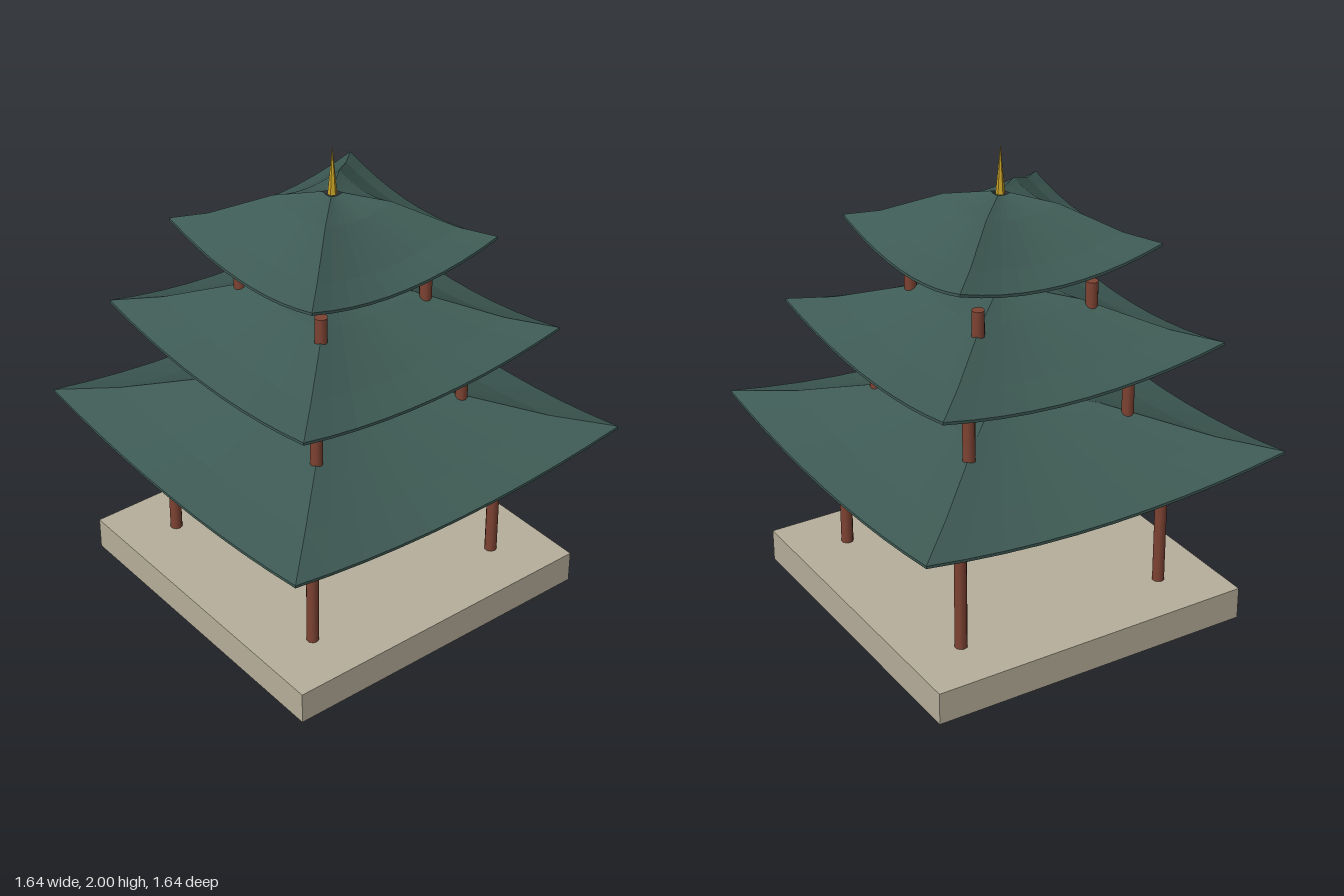
import * as THREE from 'three';

const material = (color, extra = {}) => new THREE.MeshStandardMaterial({ color, ...extra });

// Four-sided roof sheet with sagging slopes, upswept corners, a small open top and a thin eave lip.
function roofGeometry(half) {
  // [fraction of half width, drop below the top, corner lift]
  const rings = [
    [0.06, 0, 0.005],
    [0.36, 0.049, 0.026],
    [0.76, 0.172, 0.054],
    [1, 0.22, 0.071],
    [1, 0.232, 0.071],
  ];
  const steps = 10;
  const positions = [];
  const indices = [];
  for (let side = 0; side < 4; side++) {
    const start = positions.length / 3;
    const c = Math.round(Math.cos(side * Math.PI / 2));
    const s = Math.round(Math.sin(side * Math.PI / 2));
    for (const [t, drop, lift] of rings) {
      for (let i = 0; i <= steps; i++) {
        const u = -1 + 2 * i / steps;
        const r = half * t;
        const x = r * u;
        const z = r * (1 - 0.008 * t * (1 - u * u)); // eaves bow in slightly
        positions.push(x * c + z * s, lift * u * u - drop, z * c - x * s);
      }
    }
    for (let k = 0; k < rings.length - 1; k++) {
      for (let i = 0; i < steps; i++) {
        const a = start + k * (steps + 1) + i;
        const b = a + steps + 1;
        indices.push(a, b, b + 1, a, b + 1, a + 1);
      }
    }
  }
  const geometry = new THREE.BufferGeometry();
  geometry.setAttribute('position', new THREE.Float32BufferAttribute(positions, 3));
  geometry.setIndex(indices);
  const flat = geometry.toNonIndexed();
  flat.computeVertexNormals();
  return flat;
}

export function createModel() {
  const model = new THREE.Group();
  model.name = 'pagoda';
  const stone = material(0xb8b09c);
  const wood = material(0x7e4333);
  const tile = material(0x3e5a54, { side: THREE.DoubleSide, flatShading: true });
  const gold = material(0xc9a227, { flatShading: true });

  const add = (name, geometry, mat, parent, x, y, z) => {
    const mesh = new THREE.Mesh(geometry, mat);
    mesh.name = name;
    mesh.position.set(x, y, z);
    parent.add(mesh);
  };

  // Stone platform
  add('platform', new THREE.BoxGeometry(1.425, 0.14, 1.425), stone, model, 0, 0.07, 0);

  // Three tiers, each with four pillars and a roof
  const tiers = [
    { half: 0.82, top: 0.95, pillar: 0.475, from: 0.14, to: 0.715 },
    { half: 0.635, top: 1.4, pillar: 0.37, from: 0.685, to: 1.075 },
    { half: 0.452, top: 1.793, pillar: 0.26, from: 1.075, to: 1.46 },
  ];
  tiers.forEach(({ half, top, pillar, from, to }, n) => {
    const tier = new THREE.Group();
    tier.name = `tier${n + 1}`;
    const column = new THREE.CylinderGeometry(0.026, 0.026, to - from, 10);
    for (const x of [-pillar, pillar]) {
      for (const z of [-pillar, pillar]) add('pillar', column, wood, tier, x, (from + to) / 2, z);
    }
    add('roof', roofGeometry(half), tile, tier, 0, top, 0);
    model.add(tier);
  });

  // Spire on the top roof
  add('spire', new THREE.ConeGeometry(0.019, 0.205, 6), gold, model, 0, 1.8925, 0);
  return model;
}
